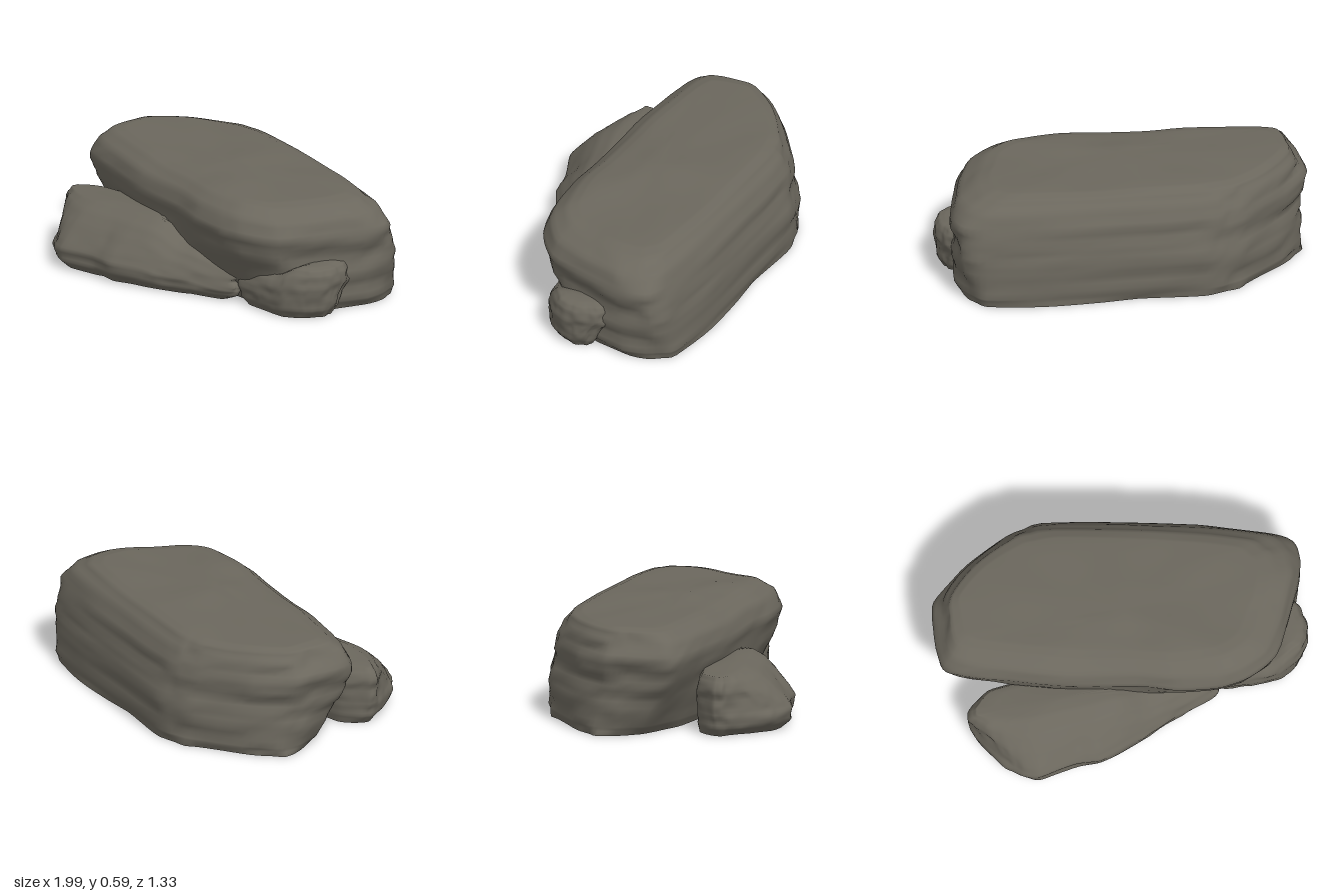
import * as THREE from 'three';

const stone = new THREE.MeshStandardMaterial({ color: 0x6b675d });
stone.name = 'warm grey stone';

const SIDES = 96;
const STEPS = 4; // rings between two levels
const { lerp, smoothstep } = THREE.MathUtils;

// Seeded value noise for the weathered surface
function hash(a, b, seed) {
  const s = Math.sin(a * 127.1 + b * 311.7 + seed * 74.7) * 43758.5453;
  return (s - Math.floor(s)) * 2 - 1;
}
function noise(a, b, seed, wrap) {
  const i = Math.floor(a), j = Math.floor(b);
  const u = smoothstep(a - i, 0, 1), v = smoothstep(b - j, 0, 1);
  const h = (p, q) => hash(p % wrap, q, seed);
  return lerp(lerp(h(i, j), h(i + 1, j), u), lerp(h(i, j + 1), h(i + 1, j + 1), u), v);
}

// Closed plan outline with slightly rounded corners
function planPoints(outline) {
  return new THREE.CatmullRomCurve3(
    outline.map(([x, z]) => new THREE.Vector3(x, 0, z)), true, 'catmullrom', 0.35,
  ).getPoints(SIDES).slice(0, SIDES);
}

// A boulder lofted from its widest plan outline to its footprint. Each level is
// [y, inset left, inset right, inset front, inset back, share of footprint] in the rock's turned frame.
function boulder({ name, outline, foot, centre, turn, levels, height, rough, seed }) {
  const wide = planPoints(outline), low = planPoints(foot);
  const c = Math.cos(turn), s = Math.sin(turn);

  const positions = [], index = [];
  const rings = [];
  for (let k = 0; k < levels.length - 1; k++) {
    for (let t = 0; t < STEPS; t++) {
      rings.push(levels[k].map((v, n) => lerp(v, levels[k + 1][n], t / STEPS)));
    }
  }
  const top = levels.at(-1);
  rings.push(top);

  const place = (i, [y, l, r, f, b, share], shrink) => {
    const dx = lerp(wide[i].x, low[i].x, share) - centre[0];
    const dz = lerp(wide[i].z, low[i].z, share) - centre[1];
    let u = dx * c + dz * s, v = -dx * s + dz * c;
    u *= 1 - (u > 0 ? r : l);
    v *= 1 - (v > 0 ? f : b);
    // broad lumps, horizontal strata and small chips
    const a = i / SIDES;
    const lump = noise(a * 24, y * 14, seed, 24) * 0.6 + noise(a * 9, y * 24, seed + 5, 9) * 0.5
      + noise(a * 48, y * 30, seed + 7, 48) * 0.3;
    const k = shrink * (1 + rough * lump);
    u *= k;
    v *= k;
    const x = centre[0] + u * c - v * s, z = centre[1] + u * s + v * c;
    const wave = y > 0.02 ? noise(x * 4 + 20, z * 5 + 20, seed + 9, 999) * 0.01 * (y / top[0]) : 0;
    positions.push(x, y * height(x) + wave, z);
  };

  for (const ring of rings) for (let i = 0; i < SIDES; i++) place(i, ring, 1);
  // gently domed crown
  for (const shrink of [0.8, 0.6, 0.4, 0.2]) {
    for (let i = 0; i < SIDES; i++) place(i, [top[0] + 0.01 * (1 - shrink), ...top.slice(1)], shrink);
  }
  const count = rings.length + 4;
  for (let k = 0; k < count - 1; k++) {
    for (let i = 0; i < SIDES; i++) {
      const a = k * SIDES + i, b = k * SIDES + (i + 1) % SIDES;
      index.push(a, b, b + SIDES, a, b + SIDES, a + SIDES);
    }
  }
  const crown = positions.length / 3;
  positions.push(centre[0], (top[0] + 0.01) * height(centre[0]), centre[1]);
  // flat underside with its own vertices, so its edge stays sharp
  const base = crown + 1;
  positions.push(...positions.slice(0, SIDES * 3), centre[0], 0, centre[1]);
  for (let i = 0; i < SIDES; i++) {
    const j = (i + 1) % SIDES;
    index.push((count - 1) * SIDES + i, (count - 1) * SIDES + j, crown);
    index.push(base + j, base + i, base + SIDES);
  }

  const geometry = new THREE.BufferGeometry();
  geometry.setAttribute('position', new THREE.Float32BufferAttribute(positions, 3));
  geometry.setIndex(index);
  geometry.computeVertexNormals();
  const mesh = new THREE.Mesh(geometry, stone);
  mesh.name = name;
  return mesh;
}

export function createModel() {
  const group = new THREE.Group();
  group.name = 'rockCluster';

  // Large slab, undercut along the front
  group.add(boulder({
    name: 'mainSlab',
    outline: [
      [-1, 0.05], [-0.9, 0.13], [-0.7, 0.2], [-0.4, 0.3], [0, 0.39], [0.2, 0.45],
      [0.42, 0.485], [0.56, 0.47], [0.75, 0.38], [0.88, 0.14], [0.98, -0.08], [0.99, -0.25],
      [0.9, -0.36], [0.55, -0.48], [0.1, -0.59], [-0.24, -0.665], [-0.37, -0.665],
      [-0.5, -0.635], [-0.75, -0.49], [-0.94, -0.31], [-0.98, -0.18],
    ],
    foot: [
      [-0.87, -0.12], [-0.77, -0.03], [-0.6, 0.08], [-0.34, 0.18], [-0.05, 0.28], [0.15, 0.28],
      [0.38, 0.29], [0.52, 0.28], [0.72, 0.23], [0.87, 0.1], [0.94, -0.08], [0.93, -0.25],
      [0.87, -0.35], [0.55, -0.47], [0.1, -0.57], [-0.24, -0.65], [-0.37, -0.65],
      [-0.5, -0.61], [-0.75, -0.48], [-0.9, -0.36], [-0.91, -0.25],
    ],
    centre: [0, 0], turn: 0.27,
    levels: [
      [0, 0.02, 0.02, 0, 0.01, 1],
      [0.05, 0, 0, 0, 0, 0.85],
      [0.19, 0, 0, 0, 0, 0.48],
      [0.3, 0.02, 0.02, 0.02, 0.05, 0.16],
      [0.42, 0, 0, 0, 0.1, 0],
      [0.51, 0.05, 0.07, 0.1, 0.17, 0],
      [0.56, 0.08, 0.16, 0.27, 0.25, 0],
      [0.578, 0.14, 0.25, 0.43, 0.35, 0],
    ],
    height: () => 1, rough: 0.024, seed: 3,
  }));

  // Long low rock at the front, stepping down toward the middle
  const frontOutline = [
    [-0.9, 0.28], [-0.88, 0.36], [-0.8, 0.5], [-0.72, 0.6], [-0.6, 0.66], [-0.38, 0.635],
    [-0.24, 0.635], [0, 0.56], [0.2, 0.475], [0.42, 0.39], [0.41, 0.33], [0.1, 0.27],
    [-0.4, 0.18], [-0.76, 0.18],
  ];
  group.add(boulder({
    name: 'frontRock', outline: frontOutline, foot: frontOutline,
    centre: [-0.4, 0.33], turn: 0,
    levels: [
      [0, 0.12, 0.08, 0.16, 0.05, 0],
      [0.05, 0.03, 0.03, 0.02, 0, 0],
      [0.11, 0, 0.01, 0, 0, 0],
      [0.16, 0.03, 0.01, 0.1, 0, 0],
      [0.23, 0, 0, 0.3, 0, 0],
      [0.29, 0.02, 0.02, 0.52, 0.05, 0],
      [0.325, 0.1, 0.1, 0.75, 0.2, 0],
    ],
    height: (x) => 1 - 0.27 * smoothstep(x, -0.14, 0.1) - 0.17 * smoothstep(x, 0.1, 0.38),
    rough: 0.035, seed: 11,
  }));

  // Small rock tucked under the overhang at the side
  const sideOutline = [
    [0.41, 0.29], [0.46, 0.36], [0.62, 0.38], [0.78, 0.375], [0.9, 0.31], [0.96, 0.2],
    [0.955, 0.08], [0.91, -0.01], [0.7, 0], [0.46, 0.12],
  ];
  group.add(boulder({
    name: 'sideRock', outline: sideOutline, foot: sideOutline,
    centre: [0.7, 0.19], turn: 0,
    levels: [
      [0, 0.1, 0.2, 0.18, 0.55, 0],
      [0.05, 0.01, 0.08, 0.05, 0.42, 0],
      [0.12, 0, 0.04, 0, 0.28, 0],
      [0.18, 0, 0, 0, 0, 0],
      [0.24, 0.05, 0.02, 0.08, 0.1, 0],
      [0.275, 0.16, 0.08, 0.24, 0.22, 0],
      [0.285, 0.35, 0.22, 0.45, 0.4, 0],
    ],
    height: (x) => 0.78 + 0.22 * smoothstep(x, 0.7, 0.85),
    rough: 0.045, seed: 23,
  }));

  return group;
}
